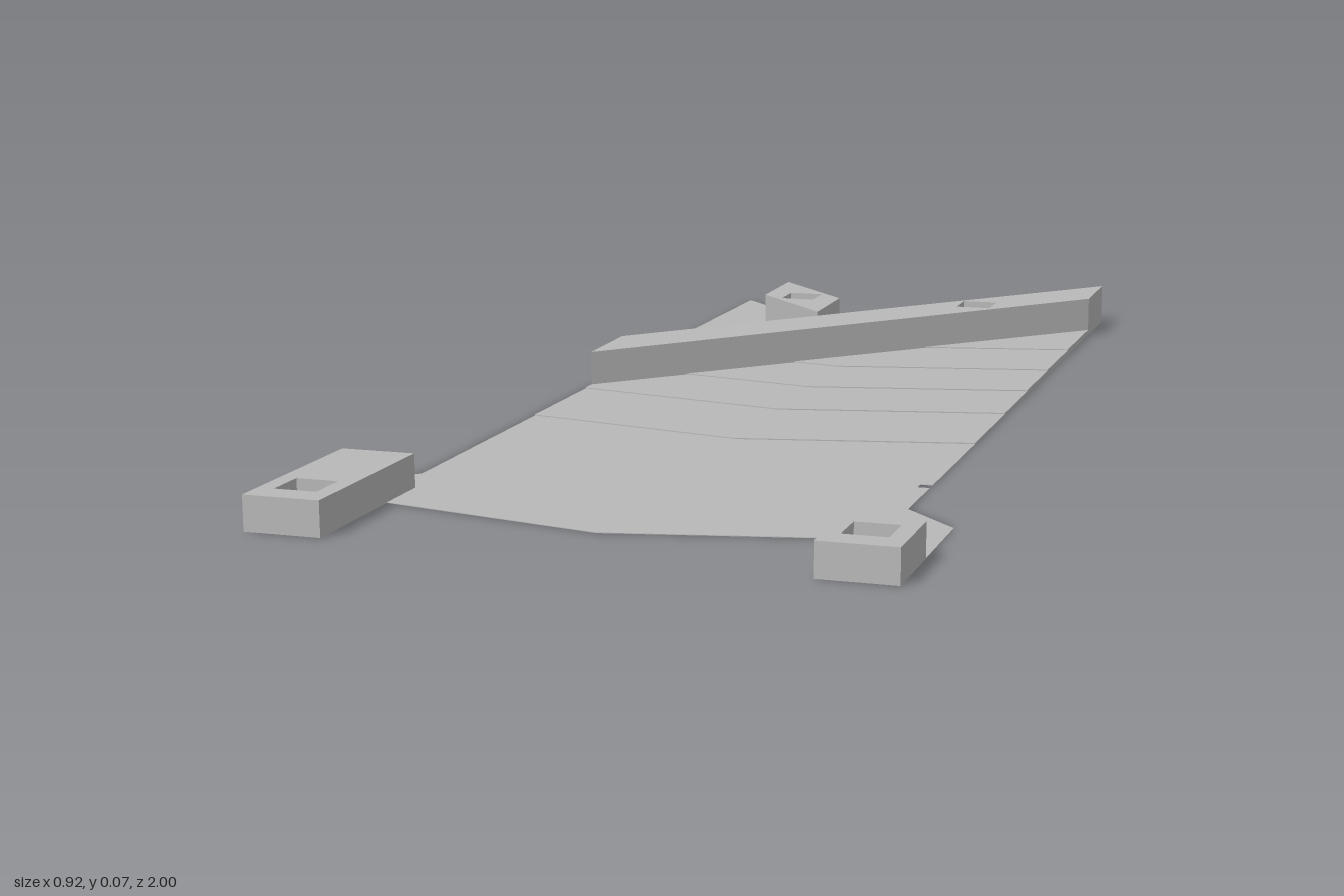
import * as THREE from 'three';

const gray = new THREE.MeshStandardMaterial({ color: 0xb8b8b8 });
gray.name = 'plain gray';

// Square hole outline centred on (x, z)
function squareHole([x, z], r = 0.032) {
  return new THREE.Path([[-r, -r], [-r, r], [r, r], [r, -r]]
    .map(([a, b]) => new THREE.Vector2(x + a, -z + b)));
}

// Flat slab from a plan outline of [x, z] points, standing between y0 and y1
function slab(name, outline, y0, y1, holes = []) {
  const shape = new THREE.Shape(outline.map(([x, z]) => new THREE.Vector2(x, -z)));
  shape.holes = holes.map((h) => squareHole(h));
  const geo = new THREE.ExtrudeGeometry(shape, { depth: y1 - y0, bevelEnabled: false });
  geo.rotateX(-Math.PI / 2).translate(0, y0, 0);
  const mesh = new THREE.Mesh(geo, gray);
  mesh.name = name;
  return mesh;
}

// Tilt the top of a slab so that it rises gently toward the back
function slopeTop(mesh) {
  const p = mesh.geometry.attributes.position;
  for (let i = 0; i < p.count; i++) {
    if (p.getY(i) > 0.03) p.setY(i, 0.0625 - 0.0125 * (p.getZ(i) + 0.07));
  }
  mesh.geometry.computeVertexNormals();
  return mesh;
}

export function createModel() {
  const group = new THREE.Group();
  group.name = 'forkedPlate';
  const backHoles = [[-0.178, -0.722], [0.175, -0.722]];
  const padHoles = [[-0.403, 0.925], [0.4, 0.925]];
  const base = 0.001, step = 0.0018;

  // Base plate with forked back, front tabs and a small notch in one side
  group.add(slab('basePlate', [
    [-0.373, -1], [0, -0.615], [0.373, -1],
    [0.373, 0.47], [0.355, 0.47], [0.355, 0.49], [0.373, 0.49],
    [0.373, 0.62], [0.458, 0.705], [0.458, 1], [0.345, 1], [0.345, 0.797],
    [0, 0.868], [-0.345, 0.797], [-0.345, 1], [-0.46, 1], [-0.46, 0.705], [-0.373, 0.62],
  ], 0, base, [...backHoles, ...padHoles]));

  // Very thin chevron terraces stacked toward the back
  [0.26, 0.03, -0.16, -0.35, -0.55].forEach((v, i) => {
    group.add(slab(`terrace${i + 1}`, [
      [-0.373, -1], [0, -0.615], [0.373, -1],
      [0.373, v - 0.075], [0, v], [-0.373, v - 0.075],
    ], base + i * step, base + (i + 1) * step, backHoles));
  });

  // Long diagonal bar along one side of the fork
  group.add(slopeTop(slab('diagonalBar', [
    [-0.373, -0.228], [-0.373, -0.073], [0.373, -0.845], [0.373, -1], [0, -0.615],
  ], 0.001, 0.07, [backHoles[1]])));

  // Short block on the other side of the fork
  group.add(slopeTop(slab('shortBlock', [
    [-0.253, -0.877], [-0.253, -0.72], [-0.1, -0.562], [-0.1, -0.719],
  ], 0.001, 0.07, [backHoles[0]])));

  // Front pads: the right one is longer
  group.add(slab('rightPad', [[-0.46, 0.705], [-0.46, 1], [-0.345, 1], [-0.345, 0.705]],
    0.001, 0.052, [padHoles[0]]));
  group.add(slab('leftPad', [[0.345, 0.865], [0.345, 1], [0.458, 1], [0.458, 0.865]],
    0.001, 0.05, [padHoles[1]]));

  return group;
}
